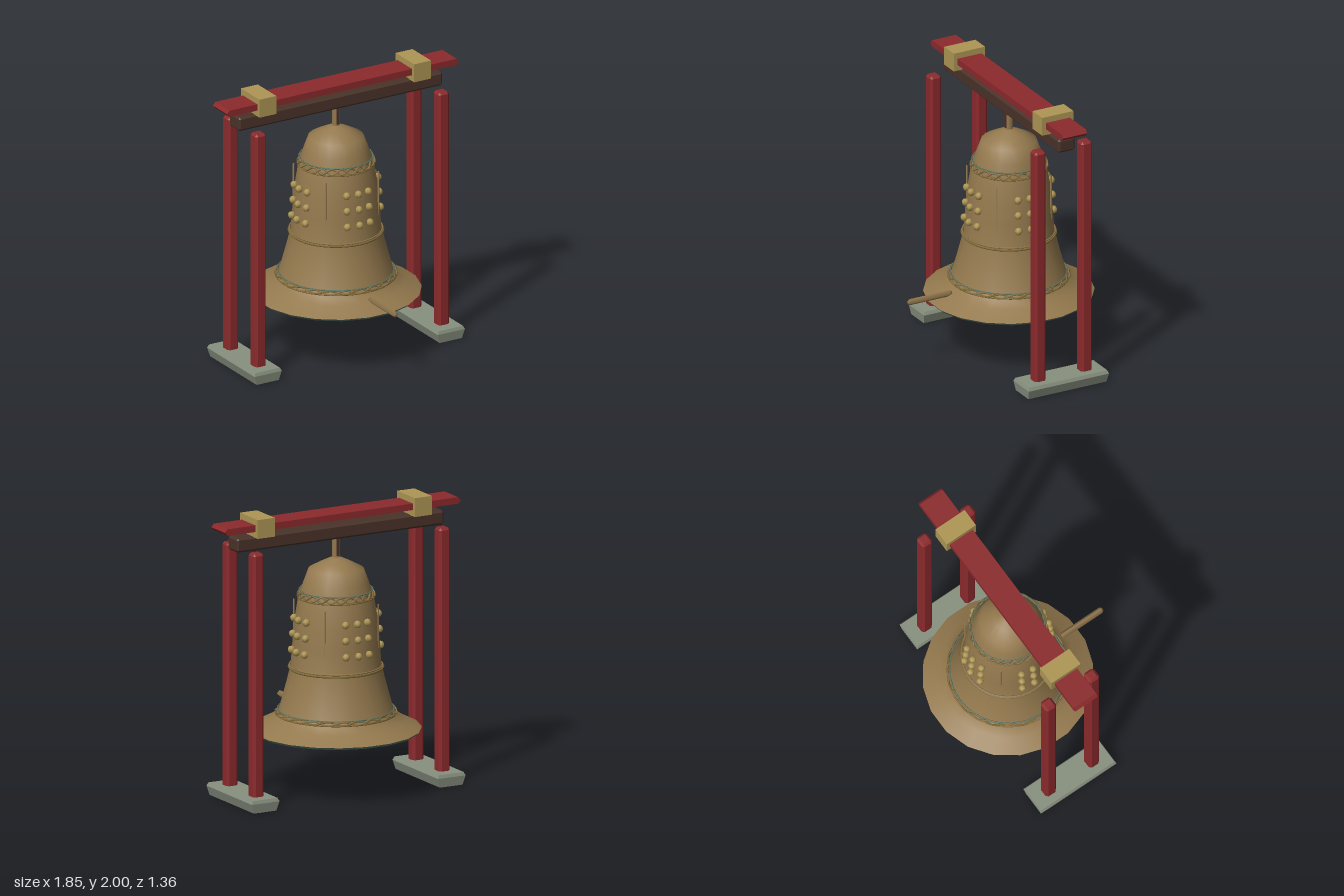
import * as THREE from 'three';
import { ConvexGeometry } from 'three/addons/geometries/ConvexGeometry.js';

const mat = (name, color) => Object.assign(new THREE.MeshStandardMaterial({ color }), { name });

export function createModel() {
  const model = new THREE.Group();
  const bronze = mat('bronze', 0x94794e);
  const brass = mat('brass', 0xae9654);
  const agedBrass = mat('agedBrass', 0x86703a);
  const patina = mat('patina', 0x5e7a69);
  const red = mat('redLacquer', 0x8c2a2c);
  const wood = mat('darkWood', 0x4a3329);
  const stone = mat('stone', 0x87907f);
  stone.side = THREE.DoubleSide; // the feet are open underneath
  const CZ = -0.106; // depth of the frame and bell axis

  const add = (parent, name, geo, material, x = 0, y = 0, z = 0) => {
    const m = new THREE.Mesh(geo, material);
    m.name = name;
    m.position.set(x, y, z);
    parent.add(m);
    return m;
  };

  // box with every edge cut at 45 degrees
  const chamferBox = (w, h, d, b) => {
    const pts = [];
    for (const sx of [-1, 1]) for (const sy of [-1, 1]) for (const sz of [-1, 1]) {
      const x = w / 2, y = h / 2, z = d / 2;
      pts.push(new THREE.Vector3(sx * x, sy * (y - b), sz * (z - b)));
      pts.push(new THREE.Vector3(sx * (x - b), sy * y, sz * (z - b)));
      pts.push(new THREE.Vector3(sx * (x - b), sy * (y - b), sz * z));
    }
    return new ConvexGeometry(pts);
  };

  // stone foot: rectangular cross-sections joined upward, open underneath
  const footGeometry = () => {
    const rings = [[0, 0.088, 0.304], [0.065, 0.108, 0.312], [0.088, 0.097, 0.304]];
    const pos = [];
    const corners = ([y, w, d]) => [[-w, y, d], [w, y, d], [w, y, -d], [-w, y, -d]];
    for (let r = 0; r < rings.length - 1; r++) {
      const a = corners(rings[r]), b = corners(rings[r + 1]);
      for (let i = 0; i < 4; i++) {
        const j = (i + 1) % 4;
        pos.push(...a[i], ...a[j], ...b[j], ...a[i], ...b[j], ...b[i]);
      }
    }
    const t = corners(rings[2]);
    pos.push(...t[0], ...t[1], ...t[2], ...t[0], ...t[2], ...t[3]);
    const g = new THREE.BufferGeometry();
    g.setAttribute('position', new THREE.Float32BufferAttribute(pos, 3));
    g.computeVertexNormals();
    return g;
  };

  // frame: feet, posts, beam, top plank and clamps
  const frame = new THREE.Group();
  frame.name = 'frame';
  frame.position.z = CZ;
  model.add(frame);
  for (const s of [-1, 1]) {
    add(frame, 'foot', footGeometry(), stone, s * 0.728);
    for (const z of [-0.18, 0.18])
      add(frame, 'post', chamferBox(0.086, 1.774, 0.086, 0.016), red, s * 0.728, 0.903, z);
    add(frame, 'clamp', new THREE.BoxGeometry(0.134, 0.132, 0.243), brass, s * 0.615, 1.934, 0);
  }
  add(frame, 'beam', chamferBox(1.62, 0.1, 0.132, 0.014), wood, 0, 1.821, 0);
  // plank with pointed ends
  const plank = new THREE.Shape([[-0.923, 0], [-0.903, -0.023], [0.903, -0.023],
    [0.923, 0], [0.903, 0.023], [-0.903, 0.023]].map(([x, y]) => new THREE.Vector2(x, y)));
  add(frame, 'topPlank', new THREE.ExtrudeGeometry(plank, { depth: 0.187, bevelEnabled: false }),
    red, 0, 1.934, -0.0935);

  // bell
  const bell = new THREE.Group();
  bell.name = 'bell';
  bell.position.z = CZ;
  model.add(bell);
  const lathe = (pts) => new THREE.LatheGeometry(
    pts.map(([r, y]) => new THREE.Vector2(r, y)), 20).rotateY(Math.PI / 20);
  add(bell, 'bellBody', lathe([
    [0.584, 0.436], [0.564, 0.447], [0.474, 0.492], [0.416, 0.535], [0.388, 0.58],
    [0.347, 0.73], [0.31, 0.875], [0.298, 1.03], [0.287, 1.18], [0.258, 1.36],
    [0.224, 1.46], [0.19, 1.552], [0.1, 1.6], [0.025, 1.635], [0, 1.635]]), bronze);
  add(bell, 'bellRim', lathe([[0.57, 0.42], [0.584, 0.436]]), patina);
  add(bell, 'bellUnderside', lathe([[0, 0.42], [0.57, 0.42]]), patina);
  add(bell, 'hanger', new THREE.CylinderGeometry(0.029, 0.029, 0.18, 8), bronze, 0, 1.705, 0);
  add(bell, 'hangerInlay', new THREE.BoxGeometry(0.02, 0.14, 0.062), wood, 0, 1.715, 0);

  // ornament bands: edge rings with two crossing wavy strands between them
  const ring = (name, r, y, t, material) =>
    add(bell, name, new THREE.TorusGeometry(r, t, 5, 40).rotateX(Math.PI / 2), material, 0, y, 0);
  const band = (r, y, half, slope, waves) => {
    for (const s of [-1, 1]) {
      ring('bandEdge', r - s * slope, y + s * half, 0.005, s > 0 ? patina : agedBrass);
      const pts = [];
      for (let i = 0; i < waves * 8; i++) {
        const a = (i / (waves * 8)) * Math.PI * 2;
        const w = s * Math.sin(a * waves);
        const rr = r - slope * w + 0.004 * s * Math.cos(a * waves);
        pts.push(new THREE.Vector3(rr * Math.sin(a), y + half * 0.75 * w, rr * Math.cos(a)));
      }
      add(bell, 'bandStrand', new THREE.TubeGeometry(
        new THREE.CatmullRomCurve3(pts, true), waves * 10, 0.007, 4, true),
      s > 0 ? bronze : agedBrass);
    }
  };
  band(0.257, 1.383, 0.024, 0.006, 12);
  band(0.405, 0.56, 0.014, 0.008, 12);
  ring('waistBandLower', 0.32, 0.867, 0.009, agedBrass);
  ring('waistBandUpper', 0.317, 0.88, 0.006, bronze);

  // four groups of nine bosses, with an upright strip between groups
  const boss = new THREE.SphereGeometry(0.027, 6, 5);
  const rows = [[1.222, 0.294], [1.112, 0.302], [1.0, 0.311]];
  for (let q = 0; q < 4; q++) {
    const base = q * Math.PI / 2;
    for (const [y, r] of rows) for (const c of [-1, 0, 1]) {
      const a = base + c * 0.295;
      add(bell, 'boss', boss, brass, r * Math.sin(a), y, r * Math.cos(a)).rotation.y = a;
    }
    const a = base + Math.PI / 4;
    add(bell, 'uprightStrip', new THREE.BoxGeometry(0.008, 0.32, 0.01), bronze,
      0.297 * Math.sin(a), 1.16, 0.297 * Math.cos(a)).rotation.y = a;
  }

  // four-sided striking log pointing at the front of the bell, tapered at both ends
  const log = new THREE.LatheGeometry([[0, -0.17], [0.012, -0.17], [0.023, -0.155],
    [0.023, 0.155], [0.012, 0.17], [0, 0.17]].map(([r, y]) => new THREE.Vector2(r, y)), 4);
  add(model, 'strikingLog', log.rotateX(Math.PI / 2), bronze, 0, 0.507, 0.51);
  return model;
}
